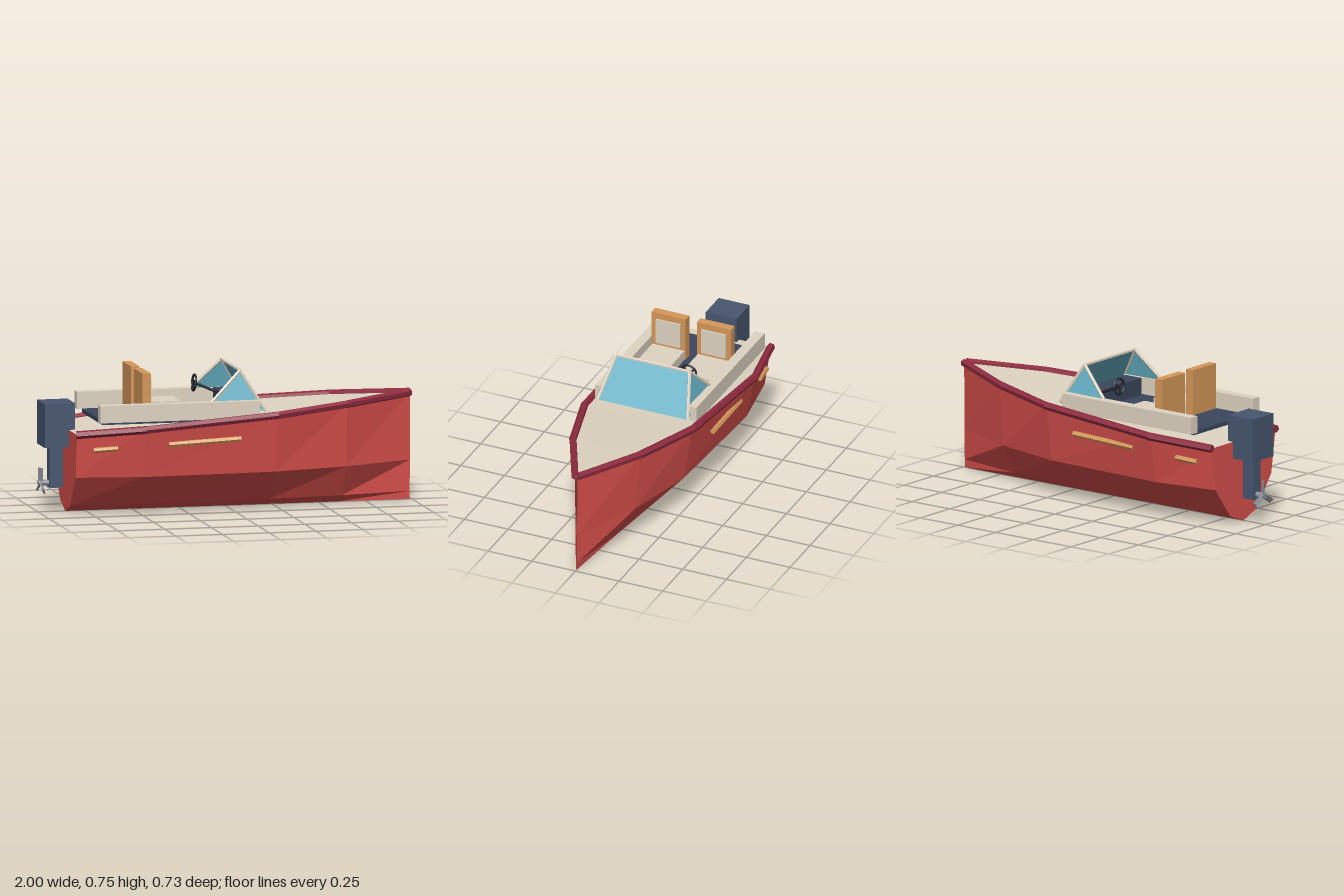
import * as THREE from 'three';

const mat = (color, side = THREE.FrontSide) =>
  new THREE.MeshStandardMaterial({ color, flatShading: true, side });
const RED = mat(0xd9504c, THREE.DoubleSide), RAIL = mat(0x8f2b3f), CREAM = mat(0xdfd4c2, THREE.DoubleSide);
const NAVY = mat(0x3a465c), MOTOR = mat(0x47566f), WOOD = mat(0xd6985a);
const GLASS = mat(0x68b4c8, THREE.DoubleSide), BLACK = mat(0x23262c), STEEL = mat(0x8b929b);
const V = (x, y, z) => new THREE.Vector3(x, y, z);

// Hull stations: x, sheer height, half widths at sheer, chine and bilge
const STATIONS = [
  [-0.855, 0.44, 0.27, 0.235, 0.11],
  [-0.505, 0.465, 0.342, 0.29, 0.125],
  [0.21, 0.513, 0.308, 0.26, 0.11],
  [0.61, 0.542, 0.192, 0.163, 0.07],
  [0.988, 0.565, 0.008, 0.005, 0.003],
];

// Skin over rows of points with equal counts
function loft(rows) {
  const n = rows[0].length, index = [];
  for (let i = 0; i < rows.length - 1; i++)
    for (let j = 0; j < n - 1; j++) {
      const a = i * n + j, b = a + n;
      index.push(a, a + 1, b, b, a + 1, b + 1);
    }
  return polygons(rows.flat(), index);
}

function polygons(points, index) {
  const g = new THREE.BufferGeometry().setFromPoints(points);
  g.setIndex(index);
  const flat = g.toNonIndexed();
  flat.computeVertexNormals();
  return flat;
}

export function createModel() {
  const model = new THREE.Group();
  model.name = 'motorboat';

  const add = (name, geometry, material, parent = model) => {
    const mesh = new THREE.Mesh(geometry, material);
    mesh.name = name;
    parent.add(mesh);
    return mesh;
  };
  // Box given by its minimum and maximum corners
  const box = (name, x0, x1, y0, y1, z0, z1, material) => {
    const mesh = add(name, new THREE.BoxGeometry(x1 - x0, y1 - y0, z1 - z0), material);
    mesh.position.set((x0 + x1) / 2, (y0 + y1) / 2, (z0 + z1) / 2);
    return mesh;
  };
  // Straight bar between two points
  const bar = (name, a, b, r, material, sides = 6) => {
    const d = b.clone().sub(a);
    const mesh = add(name, new THREE.CylinderGeometry(r, r, d.length(), sides), material);
    mesh.position.copy(a).lerp(b, 0.5);
    mesh.quaternion.setFromUnitVectors(V(0, 1, 0), d.normalize());
    return mesh;
  };

  // Hull skin, from the left sheer under the keel to the right sheer
  const sections = STATIONS.map(([x, y, s, c, b]) => [
    V(x, y, s), V(x, 0.21, c), V(x, 0.045, b), V(x, 0.002, 0),
    V(x, 0.045, -b), V(x, 0.21, -c), V(x, y, -s),
  ]);
  add('hull', loft(sections), RED);
  const fan = [1, 2, 3, 4, 5].flatMap(i => [0, i + 1, i]);
  add('transom', polygons(sections[0], fan), RED);

  // Deck between the sheer lines
  add('deck', loft(STATIONS.map(([x, y, s]) => [V(x, y, -s), V(x, y, s)])), CREAM);

  // Parts on both sides
  for (const s of [1, -1]) {
    for (let i = 0; i < STATIONS.length - 1; i++) {
      const [a, b] = [STATIONS[i], STATIONS[i + 1]].map(p => V(p[0], p[1], s * p[2]));
      const d = b.clone().sub(a).normalize().multiplyScalar(0.005);
      if (i < 3) b.add(d);
      bar('gunwaleRail', a.sub(d), b, 0.021, RAIL);
    }
    box('coaming', -0.735, 0.12, 0.5, 0.59, s * 0.2625 - 0.0275, s * 0.2625 + 0.0275, CREAM);
    bar('sideSpar', V(-0.375, 0.38, s * 0.315), V(0.008, 0.4, s * 0.333), 0.015, WOOD);
    bar('aftSpar', V(-0.77, 0.358, s * 0.285), V(-0.645, 0.367, s * 0.302), 0.014, WOOD);

    // Seats
    const c = s * 0.13;
    box('seatCushion', -0.45, -0.23, 0.5, 0.555, c - 0.092, c + 0.092, CREAM);
    box('seatBack', -0.495, -0.45, 0.5, 0.745, c - 0.098, c + 0.098, WOOD);
    box('seatBackPad', -0.45, -0.441, 0.57, 0.71, c - 0.07, c + 0.07, CREAM);
  }

  // Cockpit floor and dashboard
  box('cockpitFloor', -0.71, 0.02, 0.482, 0.503, -0.232, 0.232, NAVY);
  box('dashboard', -0.015, 0.09, 0.5, 0.595, -0.21, 0.21, NAVY);

  // Windshield panes and frame
  const top = s => V(0.03, 0.742, s * 0.21);
  const front = s => V(0.158, 0.53, s * 0.258);
  const rear = s => V(-0.13, 0.585, s * 0.25);
  add('windshieldFront', polygons([front(1), front(-1), top(-1), top(1)], [0, 1, 2, 0, 2, 3]), GLASS);
  for (const s of [1, -1]) {
    add('windshieldSide', polygons([front(s), top(s), rear(s)], s > 0 ? [0, 1, 2] : [0, 2, 1]), GLASS);
    bar('windshieldPost', front(s), top(s), 0.009, CREAM);
    bar('windshieldStrut', rear(s), top(s), 0.009, CREAM);
  }
  bar('windshieldTopBar', top(-1), top(1), 0.009, CREAM);

  // Steering wheel with spokes and column
  const wheel = new THREE.Group();
  wheel.name = 'steeringWheel';
  wheel.position.set(-0.135, 0.635, -0.13);
  wheel.rotation.set(0, Math.PI / 2, 0);
  wheel.rotateX(0.12);
  model.add(wheel);
  add('wheelRim', new THREE.TorusGeometry(0.042, 0.006, 6, 16), BLACK, wheel);
  for (let i = 0; i < 3; i++)
    add('wheelSpoke', new THREE.BoxGeometry(0.042, 0.008, 0.006).translate(0.021, 0, 0), BLACK, wheel)
      .rotation.z = -Math.PI / 2 + i * Math.PI * 2 / 3;
  bar('steeringColumn', V(-0.135, 0.635, -0.13), V(-0.01, 0.58, -0.13), 0.008, BLACK);

  // Outboard motor
  box('motorCowl', -0.985, -0.822, 0.35, 0.58, -0.088, 0.088, MOTOR);
  box('motorLeg', -0.945, -0.875, 0.13, 0.35, -0.03, 0.03, MOTOR);
  bar('propellerHub', V(-0.94, 0.155, 0), V(-1, 0.155, 0), 0.016, STEEL, 8);
  for (let i = 0; i < 3; i++) {
    const blade = add('propellerBlade',
      new THREE.BoxGeometry(0.01, 0.078, 0.028).rotateY(0.5).translate(0, 0.039, 0), STEEL);
    blade.position.set(-0.986, 0.155, 0);
    blade.rotation.x = i * Math.PI * 2 / 3;
  }
  return model;
}
